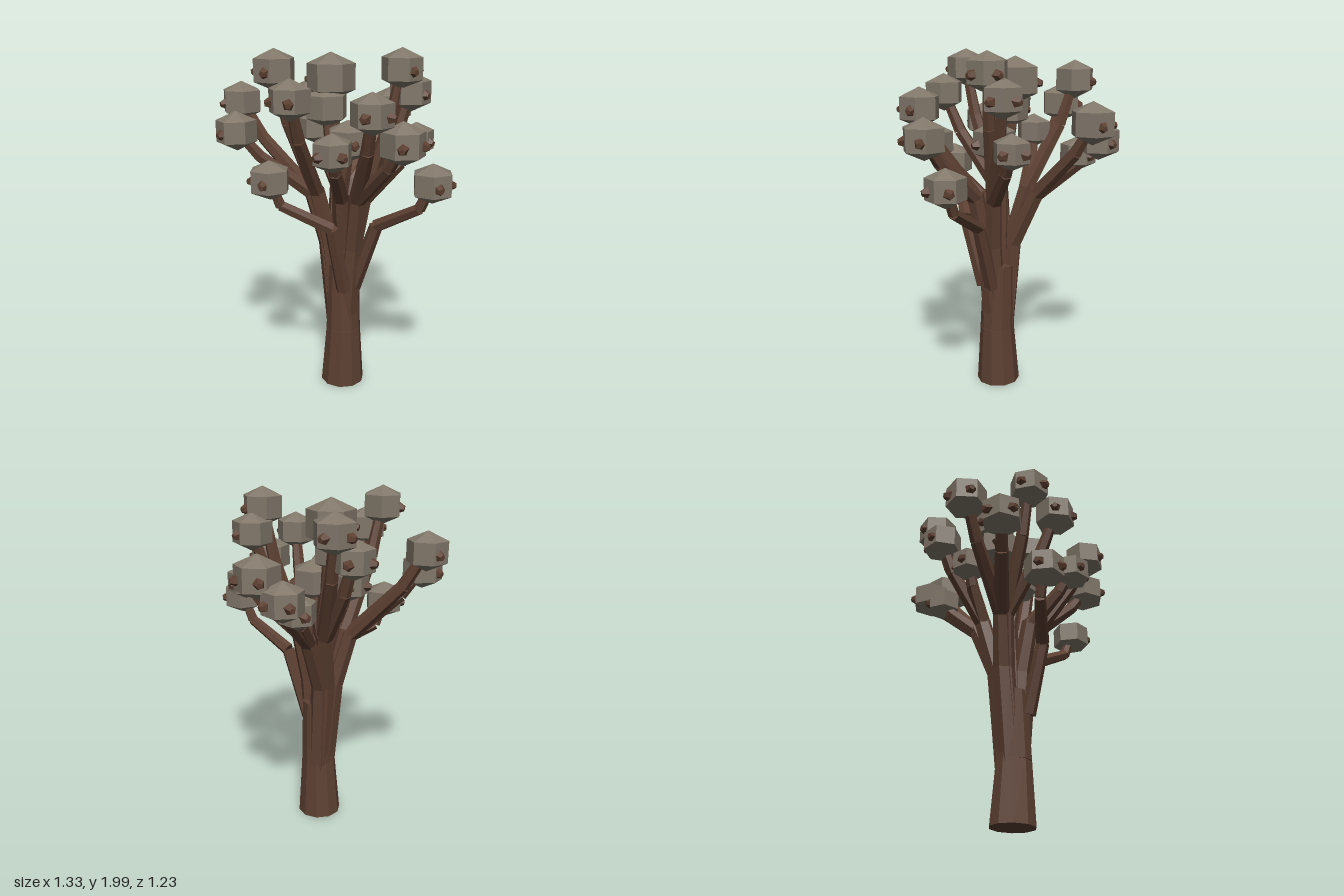
import * as THREE from 'three';

const bark = new THREE.MeshStandardMaterial({ color: 0x5d4032, flatShading: true });
const leaf = new THREE.MeshStandardMaterial({ color: 0x81776a, flatShading: true });
const UP = new THREE.Vector3(0, 1, 0);
const AXIS_Z = 0.06; // the trunk stands slightly forward of centre

// Tapered faceted limb between two points
function limb(name, a, b, r0, r1, sides = 6) {
  const dir = b.clone().sub(a);
  const mesh = new THREE.Mesh(new THREE.CylinderGeometry(r1, r0, dir.length(), sides), bark);
  mesh.position.copy(a).addScaledVector(dir, 0.5);
  mesh.quaternion.setFromUnitVectors(UP, dir.normalize());
  mesh.name = name;
  return mesh;
}

// Chain of limbs through points, thinning evenly from r0 to r1
function chain(name, pts, r0, r1) {
  const g = new THREE.Group();
  g.name = name;
  const last = pts.length - 1;
  const radius = (i) => r0 + (r1 - r0) * i / last;
  for (let i = 0; i < last; i++) {
    g.add(limb(name + 'Segment', pts[i], pts[i + 1], radius(i), radius(i + 1)));
  }
  return g;
}

// Point at height y, a fraction fx, fz of the way from the trunk axis out to p
const reach = (p, fx, y, fz = fx) => new THREE.Vector3(p.x * fx, y, AXIS_Z + (p.z - AXIS_Z) * fz);

// Six-sided leaf clump with pointed top and bottom, and two twig stubs facing outward
function clump(p, r) {
  const g = new THREE.Group();
  g.name = 'leafClump';
  const profile = [[0.001, -0.98], [1, -0.53], [1, 0.53], [0.001, 0.98]]
    .map(([px, py]) => new THREE.Vector2(px * r, py * r));
  const crown = new THREE.Mesh(new THREE.LatheGeometry(profile, 6), leaf);
  const out = Math.atan2(p.x, p.z - AXIS_Z);
  crown.rotation.y = out;
  crown.name = 'leaves';
  g.add(crown);
  for (const s of [-1, 1]) {
    const d = new THREE.Vector3(0, -0.12, 1).applyAxisAngle(UP, out + s * 0.75);
    g.add(limb('twig', d.clone().multiplyScalar(r * 0.8), d.clone().multiplyScalar(r * 1.14), 0.036, 0.016, 5));
  }
  g.position.copy(p);
  return g;
}

// One stem rising from the trunk and forking at its tip to clumps, given as [x, y, z, radius]
function stem(clumps, forkAt) {
  const g = new THREE.Group();
  g.name = 'stemWithBranches';
  const ends = clumps.map(([x, y, z]) => new THREE.Vector3(x, y, z));
  const mean = new THREE.Vector3();
  ends.forEach((p) => mean.addScaledVector(p, 1 / ends.length));
  const tip = forkAt ?? reach(mean, 0.33, 1.19, 0.27);
  const hip = reach(tip, 0.6, 0.87, 0.3);
  g.add(chain('stem', [reach(tip, 0.2, 0.3, 0.15), hip, tip], 0.06, 0.048));
  ends.forEach((p, i) => {
    // Branch leans outward, then bends upward into its clump
    const elbow = tip.clone().lerp(p, 0.7);
    elbow.y -= (p.y - tip.y) * 0.12;
    const root = tip.clone().lerp(hip, 0.08);
    g.add(chain('branch', [root, elbow, p], 0.046, 0.028));
    g.add(clump(p, clumps[i][3] ?? 0.112));
  });
  return g;
}

// Low side branch with sharp elbows; sway shifts its inner half sideways
function sideBranch(p, sway) {
  const g = new THREE.Group();
  g.name = 'sideBranchWithClump';
  const pts = [reach(p, 0.13, 0.62), reach(p, 0.4, 1.02), reach(p, 0.87, 1.16), p];
  pts[0].x += sway * 0.6;
  pts[1].x += sway;
  g.add(chain('sideBranch', pts, 0.045, 0.025), clump(p, 0.11));
  return g;
}

export function createModel() {
  const tree = new THREE.Group();
  tree.name = 'tree';

  // Flared trunk
  const lower = new THREE.Vector3(-0.005, 0, AXIS_Z);
  const waist = new THREE.Vector3(0.005, 0.35, AXIS_Z);
  const upper = new THREE.Vector3(0, 0.75, 0.05);
  tree.add(limb('trunkBase', lower, waist, 0.128, 0.102, 10), limb('trunk', waist, upper, 0.102, 0.092, 10));

  // Stems on the model's right
  tree.add(stem([[-0.37, 1.82, -0.22], [-0.4, 1.68, -0.11], [-0.28, 1.52, 0, 0.1]], new THREE.Vector3(-0.14, 1.21, -0.05)));
  tree.add(stem([[-0.4, 1.54, 0.48], [-0.53, 1.68, 0.33]]));
  // Stems on the model's left
  tree.add(stem([[0.29, 1.88, -0.1], [0.28, 1.75, -0.19], [0.28, 1.48, -0.25, 0.1]], new THREE.Vector3(0.11, 1.17, 0)));
  tree.add(stem([[0.51, 1.54, 0.15, 0.117], [0.41, 1.69, 0.27]]));
  // Front stems
  tree.add(stem([[-0.15, 1.88, 0.41], [0.01, 1.74, 0.45]], new THREE.Vector3(-0.12, 1.2, 0.15)));
  tree.add(stem([[0.21, 1.48, 0.35, 0.106]]));
  // Back stem
  tree.add(stem([[-0.11, 1.61, -0.5, 0.12], [-0.25, 1.5, -0.46], [-0.23, 1.42, -0.34, 0.1]], new THREE.Vector3(-0.11, 1.2, -0.15)));
  // Central stem
  tree.add(stem([[-0.12, 1.82, 0.02, 0.137], [-0.11, 1.66, 0.07, 0.12], [0.04, 1.48, 0.05, 0.12]]));

  tree.add(sideBranch(new THREE.Vector3(0.56, 1.31, -0.04), 0));
  tree.add(sideBranch(new THREE.Vector3(-0.12, 1.31, 0.49), 0.13));
  return tree;
}
